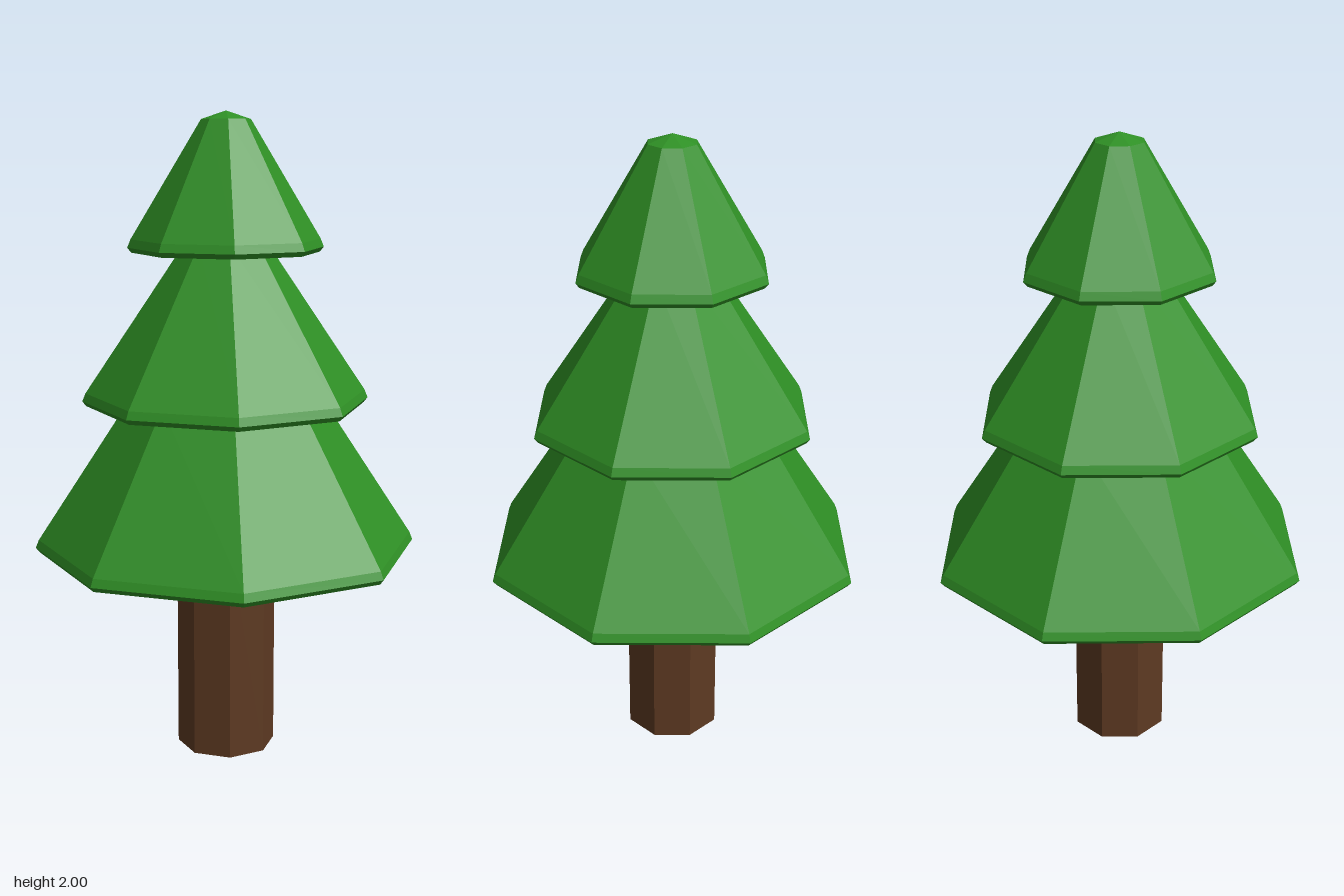
import * as THREE from 'three';

const SIDES = 8;

function material(name, color) {
  const m = new THREE.MeshStandardMaterial({ color });
  m.name = name;
  return m;
}

// Eight-sided faceted solid turned from a profile of [radius, height], bottom to top
function facetedPart(name, profile, mat) {
  const points = profile.map(([r, y]) => new THREE.Vector2(r, y));
  const geometry = new THREE.LatheGeometry(points, SIDES).toNonIndexed();
  geometry.computeVertexNormals();
  const mesh = new THREE.Mesh(geometry, mat);
  mesh.name = name;
  return mesh;
}

export function createModel() {
  const tree = new THREE.Group();
  tree.name = 'pineTree';
  const bark = material('bark brown', 0x5e3a22);
  const needles = material('needle green', 0x2f9025);

  // Trunk, running up into the lowest tier
  tree.add(facetedPart('trunk', [[0, 0], [0.155, 0], [0.155, 0.7], [0, 0.7]], bark));

  // Foliage tiers: sloping skirts with a small bevelled lip at the bottom
  const tiers = [
    { name: 'lowerFoliage', y: 0.645, r: 0.6, topY: 1.14, topR: 0.292, tipY: 1.14 },
    { name: 'middleFoliage', y: 1.11, r: 0.445, topY: 1.61, topR: 0.125, tipY: 1.61 },
    { name: 'topFoliage', y: 1.58, r: 0.3, topY: 1.975, topR: 0.075, tipY: 2 },
  ];
  for (const { name, y, r, topY, topR, tipY } of tiers) {
    tree.add(facetedPart(name, [
      [0, y], [r - 0.012, y], [r, y + 0.015], [r - 0.01, y + 0.04],
      [topR, topY], [0, tipY],
    ], needles));
  }
  return tree;
}
